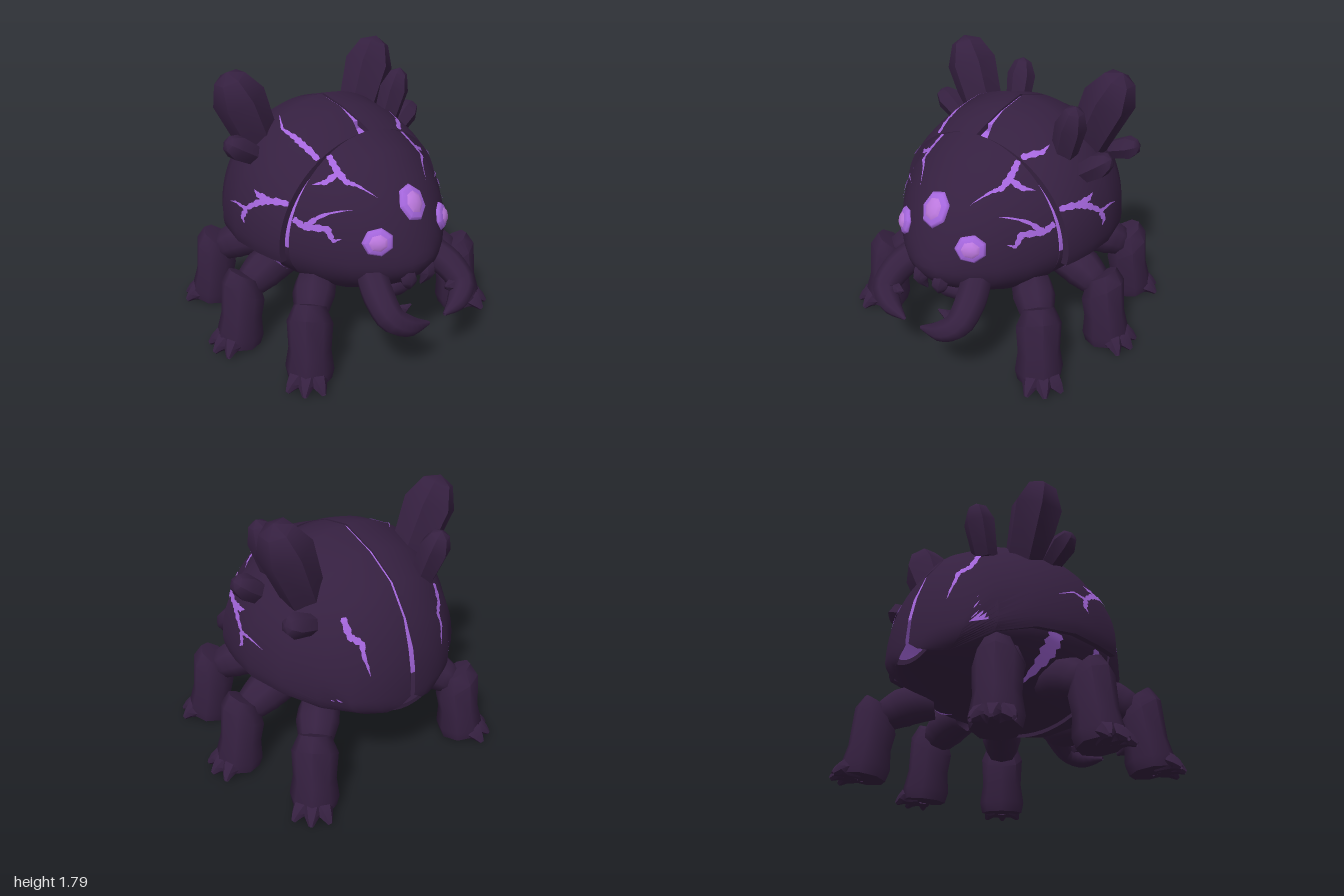
import * as THREE from 'three';
import { toCreasedNormals } from 'three/addons/utils/BufferGeometryUtils.js';

const hide = new THREE.MeshStandardMaterial({ color: 0x352040, side: THREE.DoubleSide });
hide.name = 'darkHide';
const glow = new THREE.MeshStandardMaterial({ color: 0xa466dc, side: THREE.DoubleSide });
glow.name = 'glowingPurple';
const eyeMat = new THREE.MeshStandardMaterial({ color: 0xbb78dd });
eyeMat.name = 'eyeLilac';

// Body cross-sections: z, half width, top, widest height, bottom
const stations = [
  [-0.89, 0.02, 0.74, 0.70, 0.66], [-0.88, 0.13, 0.85, 0.70, 0.59], [-0.85, 0.25, 0.99, 0.71, 0.55],
  [-0.78, 0.39, 1.17, 0.72, 0.53], [-0.65, 0.54, 1.35, 0.74, 0.49], [-0.45, 0.66, 1.47, 0.77, 0.42],
  [-0.2, 0.73, 1.55, 0.8, 0.36], [0, 0.72, 1.51, 0.8, 0.35], [0.12, 0.7, 1.46, 0.8, 0.35],
  [0.205, 0.68, 1.4, 0.8, 0.36], [0.22, 0.62, 1.41, 0.8, 0.38], [0.4, 0.53, 1.33, 0.77, 0.42],
  [0.55, 0.41, 1.2, 0.75, 0.48], [0.65, 0.29, 1.07, 0.74, 0.54], [0.72, 0.19, 0.92, 0.73, 0.6],
  [0.76, 0.09, 0.79, 0.72, 0.66], [0.775, 0.0005, 0.7205, 0.72, 0.7195],
];
function section(z) {
  let i = 0;
  while (i < stations.length - 2 && z > stations[i + 1][0]) i++;
  const a = stations[i], b = stations[i + 1];
  const t = THREE.MathUtils.clamp((z - a[0]) / (b[0] - a[0]), 0, 1);
  return a.map((v, k) => v + (b[k] - v) * t);
}
function surface(z, a, s = 1) {
  const [, w, top, mid, low] = section(z);
  const sin = Math.sin(a);
  return new THREE.Vector3(w * Math.cos(a) * s, mid + (sin > 0 ? top - mid : mid - low) * sin * s, z);
}
function surfaceNormal(z, a) {
  const da = surface(z, a + 0.02).sub(surface(z, a - 0.02));
  const dz = surface(z + 0.02, a).sub(surface(z - 0.02, a));
  return da.cross(dz).normalize();
}

// Curved plate over the body, its border folded inward when fold < 1
function plate(z0, z1, range, scale, fold, cols = 28) {
  const zs = stations.map(s => s[0]).filter(z => z >= z0 - 1e-6 && z <= z1 + 1e-6);
  const rows = zs.length - 1, pos = [], index = [], n = cols + 3;
  for (let i = -1; i <= rows + 1; i++) {
    const z = zs[THREE.MathUtils.clamp(i, 0, rows)], [a0, a1] = range(z);
    for (let j = -1; j <= cols + 1; j++) {
      const border = i < 0 || j < 0 || i > rows || j > cols;
      const a = a0 + (a1 - a0) * THREE.MathUtils.clamp(j / cols, 0, 1);
      pos.push(...surface(z, a, border ? scale * fold : scale).toArray());
    }
  }
  for (let i = 0; i < rows + 2; i++) for (let j = 0; j < n - 1; j++) {
    const k = i * n + j;
    index.push(k, k + 1, k + n, k + 1, k + n + 1, k + n);
  }
  const g = new THREE.BufferGeometry();
  g.setAttribute('position', new THREE.Float32BufferAttribute(pos, 3));
  g.setIndex(index);
  return toCreasedNormals(g, 0.7);
}

// Jagged ribbon lying on the body; points are [z, y] on the given side
function crack(points, side, width = 0.02, scale = 1) {
  const path = points.map(([z, y]) => {
    const [, , top, mid, low] = section(z);
    const a = Math.asin(THREE.MathUtils.clamp((y - mid) / ((y > mid ? top - mid : mid - low) * scale), -1, 1));
    return [z, side > 0 ? a : Math.PI - a];
  });
  const fine = [], pos = [], index = [], steps = 6;
  for (let i = 0; i < path.length - 1; i++) for (let k = i ? 1 : 0; k <= steps; k++)
    fine.push(path[i].map((v, c) => v + (path[i + 1][c] - v) * k / steps));
  fine.forEach(([z, a], i) => {
    const p = surface(z, a, scale), n = surfaceNormal(z, a);
    const q0 = fine[Math.max(i - 1, 0)], q1 = fine[Math.min(i + 1, fine.length - 1)];
    const across = surface(...q1, scale).sub(surface(...q0, scale)).cross(n).normalize();
    const t = i / (fine.length - 1);
    const w = width * Math.min(1, t * 4 + 0.7, (1 - t) * 1.7) * (1 + 0.25 * Math.sin(i * 2.1));
    p.addScaledVector(n, 0.007);
    pos.push(...p.clone().addScaledVector(across, -w).toArray(), ...p.addScaledVector(across, w).toArray());
    if (i) index.push(2 * i - 2, 2 * i - 1, 2 * i, 2 * i - 1, 2 * i + 1, 2 * i);
  });
  const g = new THREE.BufferGeometry();
  g.setAttribute('position', new THREE.Float32BufferAttribute(pos, 3));
  g.setIndex(index);
  g.computeVertexNormals();
  return g;
}

// Tapered tube through points with a radius at even steps
function limb(points, radii, sides = 8, seg = 12) {
  const curve = new THREE.CatmullRomCurve3(points.map(p => new THREE.Vector3(...p)));
  const g = new THREE.TubeGeometry(curve, seg, 1, sides), v = new THREE.Vector3();
  for (let i = 0; i <= seg; i++) {
    const c = curve.getPointAt(i / seg), f = i / seg * (radii.length - 1), k = Math.min(Math.floor(f), radii.length - 2);
    const r = radii[k] + (radii[k + 1] - radii[k]) * (f - k);
    for (let j = 0; j <= sides; j++) {
      const id = i * (sides + 1) + j;
      v.fromBufferAttribute(g.attributes.position, id).sub(c).multiplyScalar(r).add(c);
      g.attributes.position.setXYZ(id, v.x, v.y, v.z);
    }
  }
  return toCreasedNormals(g, 0.9);
}
const lathe = (profile, sides) => new THREE.LatheGeometry(profile.map(p => new THREE.Vector2(...p)), sides);

function add(parent, name, geometry, material) {
  const mesh = new THREE.Mesh(geometry, material);
  mesh.name = name;
  parent.add(mesh);
  return mesh;
}

// Faceted crystal from base to tip
function crystal(parent, base, tip, r) {
  const a = new THREE.Vector3(...base), d = new THREE.Vector3(...tip).sub(a), h = d.length();
  const shape = lathe([[0, 0], [r * 0.8, 0], [r, h * 0.66], [r * 0.6, h * 0.92], [0, h]], 6);
  const m = add(parent, 'crystal', toCreasedNormals(shape, 0.8), hide);
  m.position.copy(a);
  m.quaternion.setFromUnitVectors(new THREE.Vector3(0, 1, 0), d.normalize());
}

// Leg built along +x with the foot at the origin
function leg(name, x, z, angle) {
  const g = new THREE.Group();
  g.name = name;
  add(g, 'thigh', limb([[-0.42, 0.52, 0], [-0.25, 0.5, 0], [-0.03, 0.38, 0]], [0.11, 0.13, 0.135, 0.11, 0.04]), hide);
  // Shin with its top slanting up to the outside
  const shape = lathe([[0, 0], [0.14, 0], [0.155, 0.07], [0.135, 0.2], [0.145, 0.38], [0.1, 0.49], [0, 0.5]], 8);
  const p = shape.attributes.position;
  for (let i = 0; i < p.count; i++) if (p.getY(i) > 0.3) p.setY(i, p.getY(i) + p.getX(i) * 0.5);
  const shin = add(g, 'shin', toCreasedNormals(shape, 0.9), hide);
  shin.rotation.z = 0.13;
  shin.position.y = 0.018;
  for (const t of [-0.6, 0, 0.6]) {
    const toe = add(g, 'toe', limb([[0.04, 0.07, 0], [0.13, 0.06, 0], [0.2, 0.015, 0]], [0.07, 0.06, 0.015], 6, 4), hide);
    toe.rotation.y = t;
  }
  g.position.set(x, 0, z);
  g.rotation.y = angle;
  return g;
}

function eye(parent, name, z, a, w, h) {
  const g = new THREE.Group();
  g.name = name;
  for (const [part, material, size, depth] of [['eyeRim', glow, 1, 0.035], ['eyeLens', eyeMat, 0.76, 0.046]]) {
    const shape = new THREE.SphereGeometry(1, 7, 6).rotateX(Math.PI / 2);
    add(g, part, toCreasedNormals(shape, 0.9), material).scale.set(w * size, h * size, depth);
  }
  const p = surface(z, a);
  g.position.copy(p);
  g.lookAt(p.add(surfaceNormal(z, a)));
  parent.add(g);
}

export function createModel() {
  const model = new THREE.Group();
  model.name = 'crystalBeetle';
  const PI = Math.PI;

  // Glowing core under the plates, and belly
  add(model, 'glowingCore', plate(-0.88, 0.12, () => [-0.05, PI + 0.05], 0.983, 0.9), glow);
  add(model, 'glowingNeck', plate(0.12, 0.4, () => [-0.05, PI + 0.05], 0.905, 0.9), glow);
  add(model, 'belly', plate(-0.85, 0.4, () => [-PI, 0], 0.91, 0.8), hide);

  // Wing covers with a central seam
  const seam = z => {
    const gap = z > 0.15 ? 0.045 : z > 0.1 ? 0.02 : z < -0.8 ? 0.018 : 0.009;
    return Math.acos(Math.min(0.9, gap / section(z)[1]));
  };
  const hem = z => z < -0.7 ? -0.85 : z < -0.5 ? -0.35 : -0.2;
  add(model, 'leftWingCover', plate(-0.89, 0.205, z => [hem(z), seam(z)], 1, 0.94), hide);
  add(model, 'rightWingCover', plate(-0.89, 0.205, z => [PI - seam(z), PI - hem(z)], 1, 0.94), hide);
  add(model, 'head', plate(0.22, 0.775, () => [-PI / 2, PI * 1.5], 1, 0.94, 56), hide);

  // Eyes
  eye(model, 'middleEye', 0.645, PI / 2, 0.1, 0.12);
  eye(model, 'leftEye', 0.64, 0.47, 0.1, 0.09);
  eye(model, 'rightEye', 0.64, PI - 0.47, 0.1, 0.09);

  // Cracks, as [z, y] paths on each flank
  const cracks = [
    [[0.225, 1.33], [0.3, 1.28], [0.4, 1.22], [0.45, 1.2], [0.56, 1.13]], [[0.34, 1.26], [0.31, 1.21], [0.25, 1.19]],
    [[0.225, 1.0], [0.3, 0.96], [0.36, 1.03], [0.5, 1.08]], [[0.3, 0.96], [0.42, 0.97], [0.46, 0.9], [0.5, 0.92]],
    [[0.2, 1.09], [0.08, 1.08], [0, 1.05], [-0.1, 0.98], [-0.2, 0.99], [-0.31, 0.95]],
    [[-0.09, 0.98], [-0.12, 0.92], [-0.09, 0.88]], [[0.08, 1.08], [-0.02, 1.09], [-0.07, 1.11]],
    [[-0.64, 1.22], [-0.7, 1.12], [-0.75, 1.08], [-0.8, 0.95], [-0.82, 0.88]],
  ];
  for (const side of [1, -1]) {
    for (const c of cracks) add(model, 'crack', crack(c, side), glow);
    add(model, 'bellyCrack', crack([[-0.28, 0.72], [-0.29, 0.63], [-0.3, 0.54], [-0.31, 0.46]], side, 0.05, 0.91), glow);
    add(model, 'bellyCrack', crack([[0.07, 0.72], [0.06, 0.64], [0.07, 0.55]], side, 0.03, 0.91), glow);
  }
  add(model, 'rightBackCrack', crack([[0.2, 1.31], [0.08, 1.37], [0, 1.4], [-0.12, 1.42], [-0.27, 1.46]], -1), glow);
  add(model, 'leftBackCrack', crack([[0.2, 1.34], [0.1, 1.36], [0.02, 1.39]], 1), glow);

  // Mandibles, fangs and jaw
  for (const s of [1, -1]) {
    add(model, 'mandible', limb([[s * 0.25, 0.64, 0.56], [s * 0.31, 0.55, 0.71], [s * 0.31, 0.46, 0.82],
      [s * 0.22, 0.4, 0.87], [s * 0.07, 0.37, 0.9]], [0.1, 0.1, 0.09, 0.07, 0.012], 8, 14), hide);
    add(model, 'mandibleTooth', limb([[s * 0.3, 0.47, 0.8], [s * 0.22, 0.47, 0.8], [s * 0.15, 0.5, 0.82]], [0.05, 0.04, 0.005], 6, 4), hide);
    add(model, 'fang', limb([[s * 0.08, 0.68, 0.68], [s * 0.08, 0.6, 0.72], [s * 0.05, 0.51, 0.7]], [0.05, 0.055, 0.005], 6, 6), hide);
  }
  const jaw = add(model, 'jaw', new THREE.SphereGeometry(1, 12, 8), hide);
  jaw.scale.set(0.2, 0.11, 0.16);
  jaw.position.set(0, 0.47, 0.47);

  // Legs
  for (const [name, x, z, angle] of [['Front', 0.68, 0.48, -0.75], ['Middle', 0.8, -0.12, 0], ['Rear', 0.62, -0.73, 0.85]]) {
    model.add(leg('left' + name + 'Leg', x, z, angle));
    model.add(leg('right' + name + 'Leg', -x, z, PI - angle));
  }

  // Crystals on the back
  crystal(model, [0.42, 1.27, -0.35], [0.63, 1.79, -0.38], 0.17);
  crystal(model, [-0.42, 1.27, -0.33], [-0.62, 1.78, -0.36], 0.17);
  crystal(model, [0.42, 1.25, -0.07], [0.53, 1.66, -0.03], 0.1);
  crystal(model, [0.53, 1.18, -0.09], [0.75, 1.35, -0.11], 0.085);
  crystal(model, [0.5, 1.18, -0.54], [0.69, 1.25, -0.56], 0.08);
  crystal(model, [-0.53, 1.25, -0.22], [-0.74, 1.39, -0.23], 0.085);
  crystal(model, [-0.32, 1.25, -0.57], [-0.35, 1.59, -0.68], 0.1);
  return model;
}
